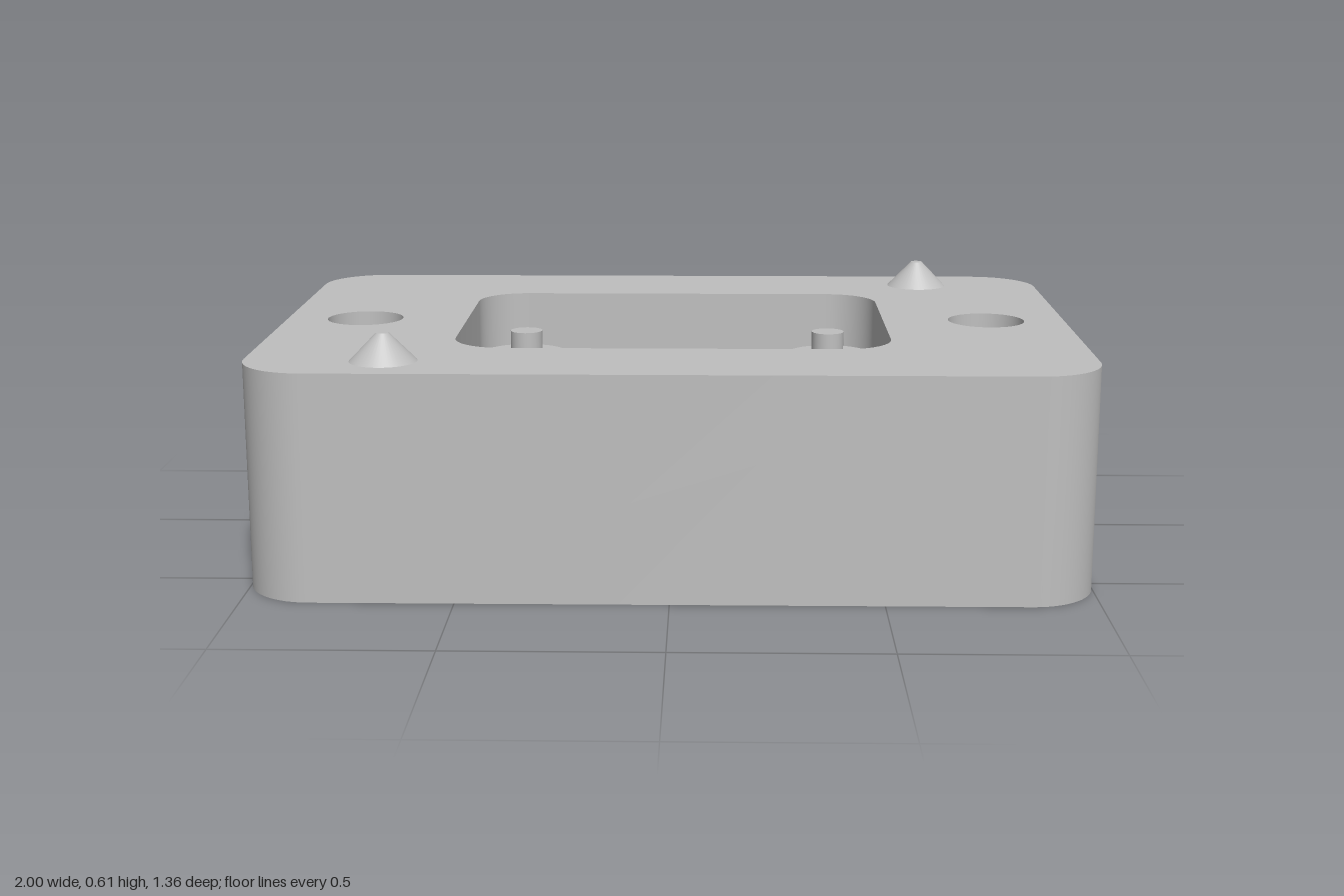
import * as THREE from 'three';
import { toCreasedNormals } from 'three/addons/utils/BufferGeometryUtils.js';

const H = 0.545, FLOOR = 0.08;
const OUTER = { w: 1, d: 0.68, r: 0.16 };
const POCKET = { w: 0.535, d: 0.38, r: 0.125 };

// counter-clockwise arc points
function arc(cx, cy, r, from, to, n) {
  return Array.from({ length: n + 1 }, (_, i) => {
    const a = from + ((to - from) * i) / n;
    return new THREE.Vector2(cx + r * Math.cos(a), cy + r * Math.sin(a));
  });
}

// rounded rectangle; its one open side is the straight rear edge
function roundedRect({ w, d, r }) {
  const q = Math.PI / 2;
  return [[-1, 1], [-1, -1], [1, -1], [1, 1]].flatMap(([sx, sy], i) =>
    arc(sx * (w - r), sy * (d - r), r, q * (i + 1), q * (i + 2), 14));
}

const circle = (x, r) => arc(x, 0, r, 0, Math.PI * 2, 40);

// strip of wall along a path, facing to the right of the direction of travel
function wall(points, z0, z1) {
  const pos = [];
  for (let i = 0; i < points.length - 1; i++) {
    const a = points[i], b = points[i + 1];
    pos.push(a.x, a.y, z0, b.x, b.y, z0, b.x, b.y, z1);
    pos.push(a.x, a.y, z0, b.x, b.y, z1, a.x, a.y, z1);
  }
  const g = new THREE.BufferGeometry();
  g.setAttribute('position', new THREE.Float32BufferAttribute(pos, 3));
  return toCreasedNormals(g, 0.6);
}

// flat sheet with holes
function sheet(points, holes = []) {
  const s = new THREE.Shape(points);
  s.holes = holes.map((h) => new THREE.Path(h));
  return new THREE.ShapeGeometry(s);
}

const upright = (g) => g.rotateX(-Math.PI / 2);

export function createModel() {
  const model = new THREE.Group();
  const grey = new THREE.MeshStandardMaterial({ color: 0xbfbfbf });
  grey.name = 'grey';
  const add = (name, geometry, parent = model) => {
    const m = new THREE.Mesh(geometry, grey);
    m.name = name;
    parent.add(m);
    return m;
  };

  const outer = roundedRect(OUTER), pocket = roundedRect(POCKET);
  const bolts = [-0.8, 0.8].map((x) => circle(x, 0.097));

  // block faces
  add('topFace', upright(sheet(outer, [pocket, ...bolts])).translate(0, H, 0));
  add('bottomFace', sheet(outer, bolts).rotateX(Math.PI / 2));
  add('outerWall', upright(wall(outer, 0, H)));
  add('pocketWall', upright(wall([...pocket].reverse(), FLOOR, H)));
  add('pocketFloor', upright(sheet(pocket)).translate(0, FLOOR, 0));
  bolts.forEach((b) => add('boltHole', upright(wall([...b].reverse(), 0, H))));

  // teardrop cable hole through the rear wall
  const R = 0.112, CY = 0.205;
  const drop = arc(0, CY, R, Math.PI * 0.75, Math.PI * 2.25, 32);
  drop.push(new THREE.Vector2(0, CY + R * Math.SQRT2), drop[0].clone());
  const panel = ({ w, r }, y0) => sheet(
    [[-1, y0], [1, y0], [1, H], [-1, H]].map(([s, y]) => new THREE.Vector2(s * (w - r), y)), [drop]);
  add('rearFace', panel(OUTER, 0).rotateY(Math.PI).translate(0, 0, -OUTER.d));
  add('pocketRearFace', panel(POCKET, FLOOR).translate(0, 0, -POCKET.d));
  add('cableHole', wall([...drop].reverse(), -OUTER.d, -POCKET.d));

  // corner posts, each with a peg and a web into the corner
  const POST = 0.405, PEG = 0.465;
  for (const sx of [-1, 1]) for (const sz of [-1, 1]) {
    const post = new THREE.Group();
    post.name = 'cornerPost';
    post.position.set(sx * 0.408, 0, sz * 0.255);
    model.add(post);
    add('post', new THREE.CylinderGeometry(0.107, 0.107, POST - FLOOR, 40)
      .translate(0, (POST + FLOOR) / 2, 0), post);
    add('peg', new THREE.CylinderGeometry(0.043, 0.043, PEG - POST, 28)
      .translate(0, (PEG + POST) / 2, 0), post);
    const webTop = POST - 0.003;
    add('web', new THREE.BoxGeometry(0.172, webTop - FLOOR, 0.125)
      .translate(0, (webTop + FLOOR) / 2, 0.0625), post).rotation.y = Math.atan2(sx, sz);
  }

  // conical locating pins on opposite corners
  for (const s of [-1, 1]) {
    add('locatingPin', new THREE.CylinderGeometry(0.015, 0.08, 0.067, 40)
      .translate(s * 0.67, H + 0.0335, -s * 0.535));
  }
  return model;
}
